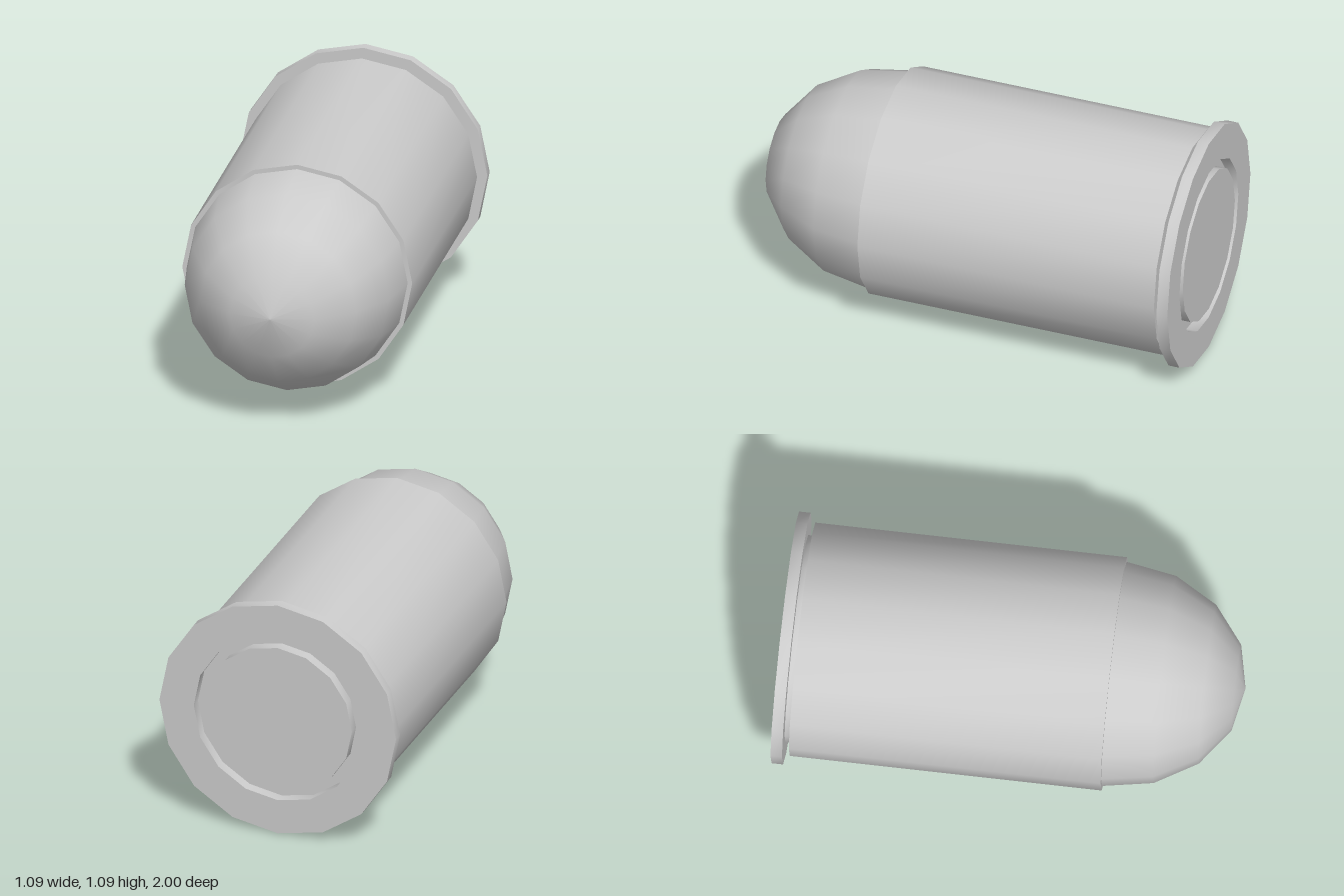
import * as THREE from 'three';
import { toCreasedNormals } from 'three/addons/utils/BufferGeometryUtils.js';

const SIDES = 16;
const AXIS_HEIGHT = 0.547;

// Turns a profile of [radius, z] points, listed back to front, around the z axis.
function turned(name, profile, material, smooth = false) {
  const points = profile.map(([r, z]) => new THREE.Vector2(r, z));
  let geometry = new THREE.LatheGeometry(points, SIDES);
  if (!smooth) geometry = toCreasedNormals(geometry, 0.7);
  geometry.rotateX(Math.PI / 2);
  const mesh = new THREE.Mesh(geometry, material);
  mesh.name = name;
  mesh.position.y = AXIS_HEIGHT;
  return mesh;
}

export function createModel() {
  const group = new THREE.Group();
  group.name = 'cartridge';
  const material = new THREE.MeshStandardMaterial({ color: 0xcccccc });

  // Flat primer cap in the middle of the base
  group.add(turned('primer', [[0, -1], [0.343, -1], [0.343, -0.95]], material));

  // Base rim, with the recess around the primer
  group.add(turned('rim', [
    [0.343, -0.95], [0.388, -0.95], [0.388, -1],
    [0.547, -1], [0.547, -0.95], [0.45, -0.95],
  ], material));

  // Extractor groove, straight wall and mouth lip
  group.add(turned('casing', [
    [0.45, -0.95], [0.45, -0.925], [0.507, -0.925],
    [0.507, 0.43], [0.487, 0.43],
  ], material));

  // Rounded bullet nose
  group.add(turned('bullet', [
    [0.487, 0.43], [0.45, 0.65], [0.345, 0.835], [0.187, 0.96], [0, 1],
  ], material, true));

  return group;
}
